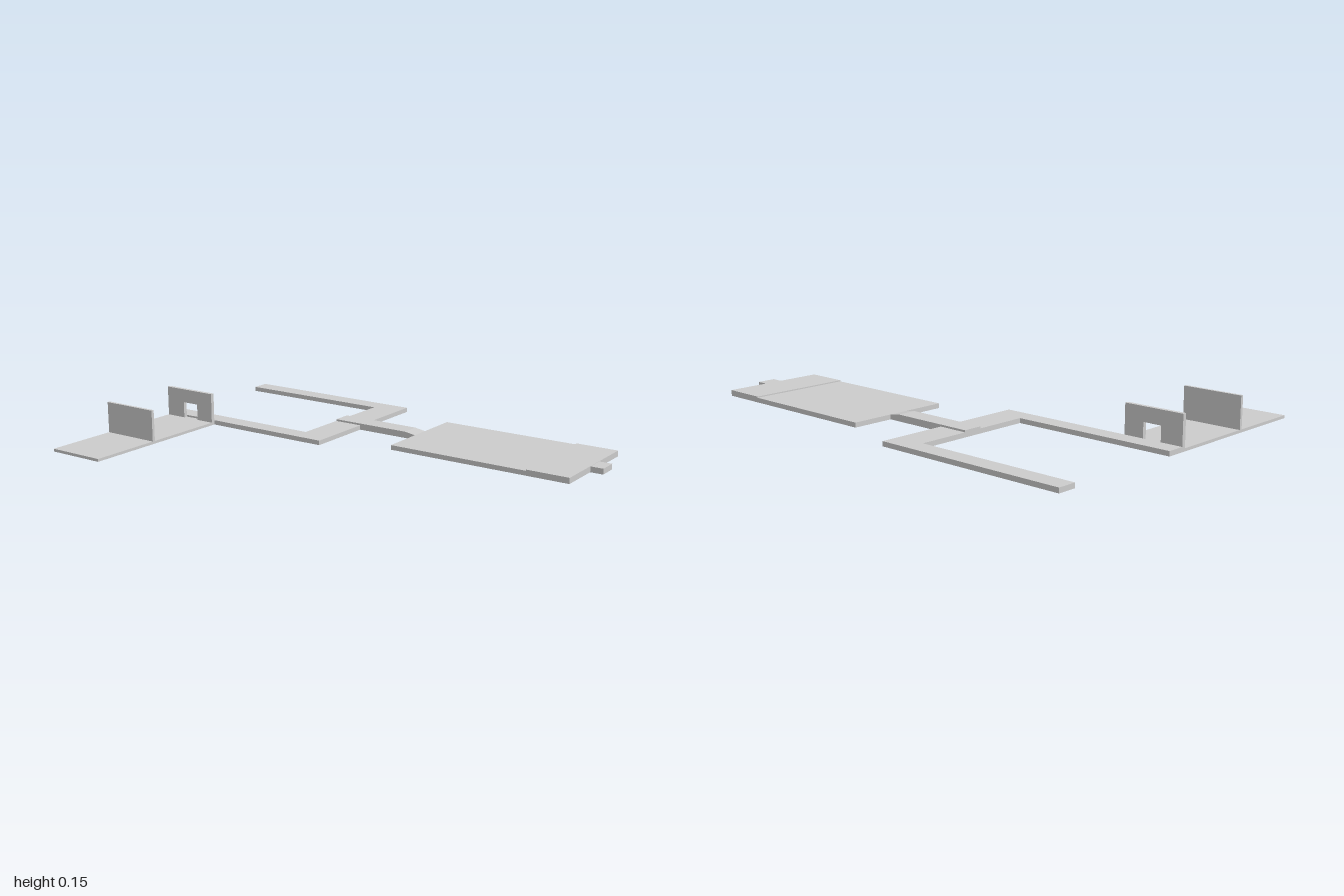
import * as THREE from 'three';

const material = new THREE.MeshStandardMaterial({ color: 0xcccccc, flatShading: true });

// Box given by its limits on each axis
function slab(name, [x0, x1], [y0, y1], [z0, z1]) {
  const mesh = new THREE.Mesh(new THREE.BoxGeometry(x1 - x0, y1 - y0, z1 - z0), material);
  mesh.position.set((x0 + x1) / 2, (y0 + y1) / 2, (z0 + z1) / 2);
  mesh.name = name;
  return mesh;
}

const outline = (points) => new THREE.Shape(points.map(([a, b]) => new THREE.Vector2(a, b)));

// Side profile of [z, y] points, extruded along x from x0 to x1
function sideProfile(name, points, x0, x1) {
  const geometry = new THREE.ExtrudeGeometry(outline(points.map(([z, y]) => [-z, y])),
    { depth: x1 - x0, bevelEnabled: false });
  geometry.rotateY(Math.PI / 2).translate(x0, 0, 0);
  const mesh = new THREE.Mesh(geometry, material);
  mesh.name = name;
  return mesh;
}

// Floor plan of [x, z] points, extruded upward from the ground
function floorPlan(name, points, height) {
  const geometry = new THREE.ExtrudeGeometry(outline(points.map(([x, z]) => [x, -z])),
    { depth: height, bevelEnabled: false });
  geometry.rotateX(-Math.PI / 2);
  const mesh = new THREE.Mesh(geometry, material);
  mesh.name = name;
  return mesh;
}

export function createModel() {
  const model = new THREE.Group();
  model.name = 'walkwayAndPlatforms';

  // Rear platform with its two upright walls
  const floor = 0.012, back = -1, front = -0.74;
  model.add(slab('rearPlatform', [-0.7, 0.012], [0, floor], [back, front]));
  model.add(slab('solidWall', [-0.383, -0.37], [floor, 0.147], [back, front]));
  model.add(sideProfile('doorwayWall', [
    [back, floor], [-0.905, floor], [-0.905, 0.083], [-0.825, 0.083],
    [-0.825, floor], [front, floor], [front, 0.143], [back, 0.143],
  ], -0.005, 0.012));

  // U-shaped walkway
  model.add(floorPlan('forkedWalkway', [
    [0.012, -1], [0.09, -1], [0.09, -0.285], [0.62, -0.285],
    [0.62, -1], [0.7, -1], [0.7, -0.155], [0.012, -0.155],
  ], 0.02));

  // Connecting path, ramping up over the walkway
  model.add(sideProfile('connectingPath', [
    [-0.285, 0], [0.13, 0], [0.13, 0.02], [0.08, 0.028], [-0.285, 0.028],
  ], 0.317, 0.4));

  // Front platform with a slightly raised front strip, and its end tab
  model.add(sideProfile('frontPlatform', [
    [0.13, 0], [0.945, 0], [0.945, 0.025], [0.76, 0.025], [0.76, 0.02], [0.13, 0.02],
  ], 0.13, 0.585));
  model.add(slab('endTab', [0.317, 0.4], [0, 0.024], [0.945, 1]));

  return model;
}
